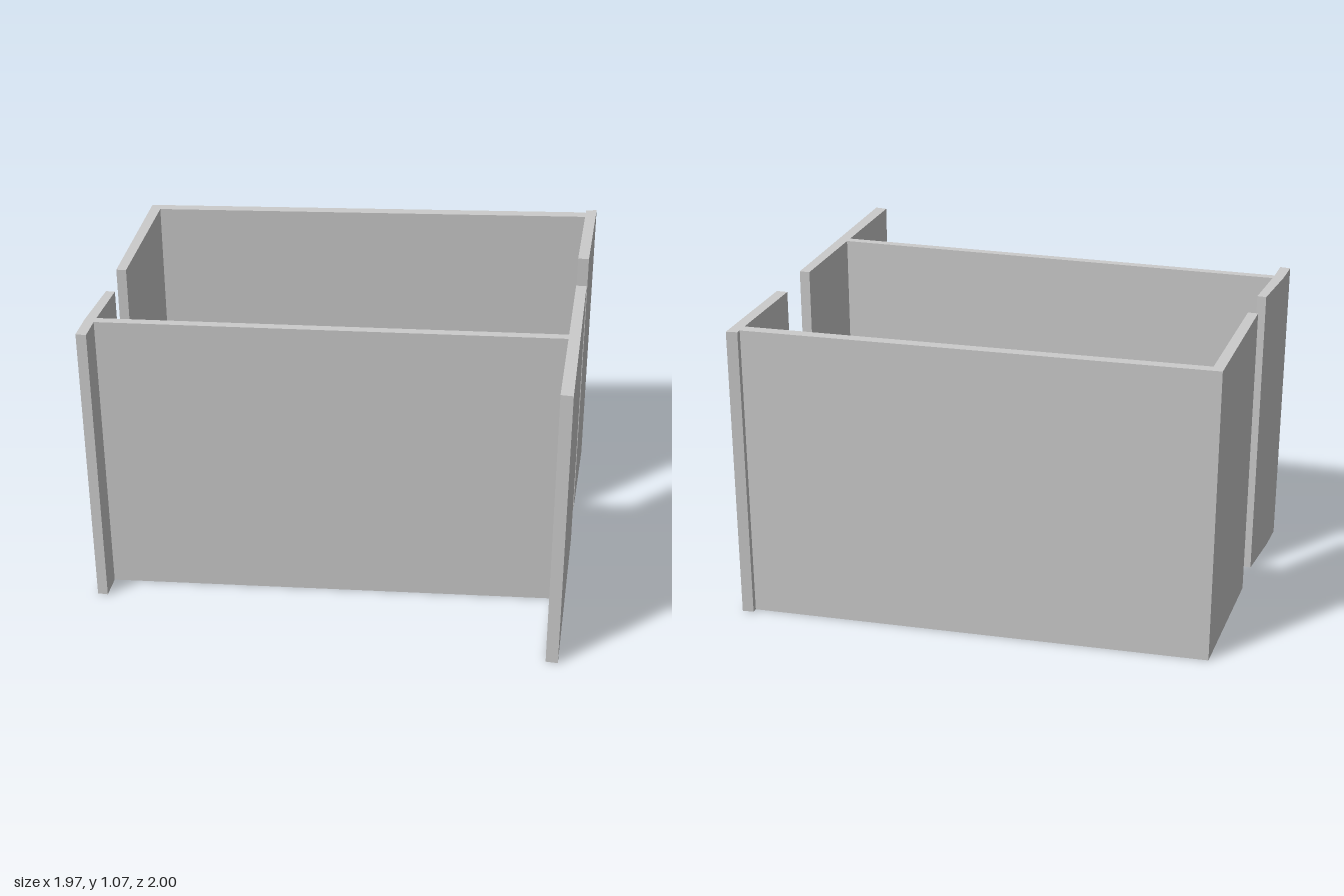
import * as THREE from 'three';

const HEIGHT = 1.065;

// Wall footprints as [x, z] corners on the ground plan
const WALLS = {
  backLongWall: [[-0.207, -1.0], [0.943, 0.126], [0.914, 0.15], [-0.207, -0.952]],
  backEndWall: [[-0.207, -1.0], [-0.207, -0.952], [-0.592, -0.64], [-0.615, -0.666]],
  rightEndWall: [[0.957, 0.115], [0.987, 0.14], [0.675, 0.39], [0.649, 0.362]],
  frontEndWall: [[0.494, 0.497], [0.519, 0.523], [-0.055, 1.0], [-0.08, 0.966]],
  frontLongWall: [[-0.903, -0.417], [-0.88, -0.434], [0.225, 0.719], [0.203, 0.738]],
  // slightly bent stub wall
  leftEndWall: [[-0.735, -0.56], [-0.715, -0.536], [-0.893, -0.41], [-0.966, -0.352],
    [-0.988, -0.381], [-0.905, -0.445]],
};

export function createModel() {
  const model = new THREE.Group();
  model.name = 'roomWalls';
  const material = new THREE.MeshStandardMaterial({ color: 0xcccccc, flatShading: true });

  // Raise each footprint to full height
  for (const [name, corners] of Object.entries(WALLS)) {
    const shape = new THREE.Shape(corners.map(([x, z]) => new THREE.Vector2(x, -z)));
    const geometry = new THREE.ExtrudeGeometry(shape, { depth: HEIGHT, bevelEnabled: false });
    geometry.rotateX(-Math.PI / 2);
    const wall = new THREE.Mesh(geometry, material);
    wall.name = name;
    model.add(wall);
  }
  return model;
}
